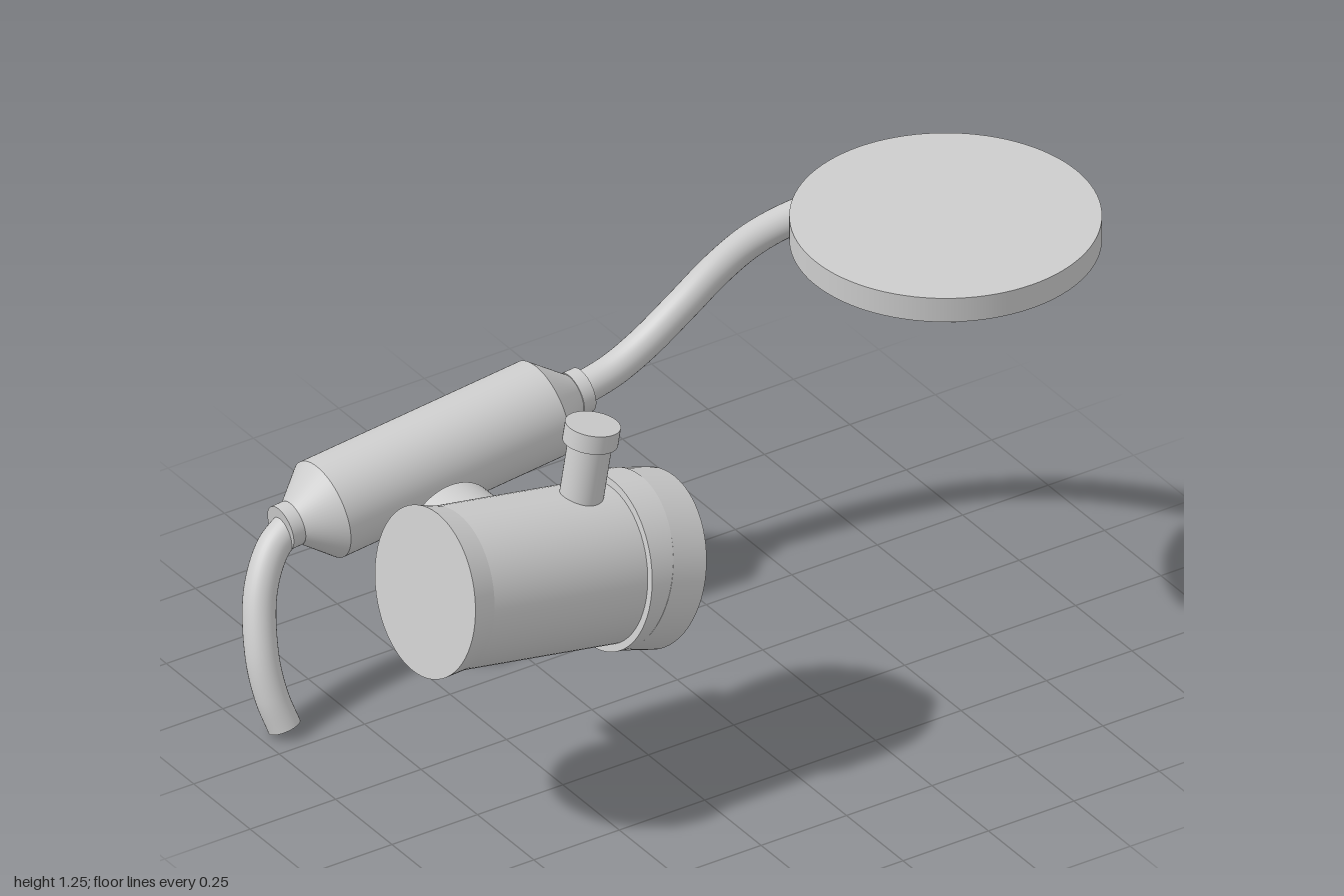
import * as THREE from 'three';

const metal = new THREE.MeshStandardMaterial({ color: 0xcccccc });
metal.name = 'light grey metal';

function add(parent, name, geometry) {
  const mesh = new THREE.Mesh(geometry, metal);
  mesh.name = name;
  parent.add(mesh);
  return mesh;
}

// Round section along local x from a to b, with a radius at each end
function section(parent, name, ra, rb, a, b) {
  const g = new THREE.CylinderGeometry(rb, ra, b - a, 64);
  g.rotateZ(-Math.PI / 2);
  g.translate((a + b) / 2, 0, 0);
  return add(parent, name, g);
}

// Bent pipe through points, closed at both ends
function pipe(parent, name, points, radius) {
  const curve = new THREE.CatmullRomCurve3(points.map(p => new THREE.Vector3(...p)));
  const group = new THREE.Group();
  group.name = name;
  add(group, name + 'Wall', new THREE.TubeGeometry(curve, 64, radius, 32));
  for (const t of [0, 1]) {
    const cap = add(group, name + 'End', new THREE.CircleGeometry(radius, 32));
    const dir = curve.getTangent(t).multiplyScalar(t ? 1 : -1);
    cap.position.copy(curve.getPoint(t));
    cap.quaternion.setFromUnitVectors(new THREE.Vector3(0, 0, 1), dir);
  }
  parent.add(group);
}

function frame(parent, name, x, y, z, angle) {
  const group = new THREE.Group();
  group.name = name;
  group.position.set(x, y, z);
  group.rotation.z = angle;
  parent.add(group);
  return group;
}

export function createModel() {
  const model = new THREE.Group();
  model.name = 'exhaustAssembly';

  // Round plate with a ring of six bolts underneath
  const plate = frame(model, 'plate', 0.62, 1.19, 0.25, 0);
  add(plate, 'plateDisc', new THREE.CylinderGeometry(0.382, 0.382, 0.068, 96).translate(0, 0.034, 0));
  for (let i = 0; i < 6; i++) {
    const a = i * Math.PI / 3;
    add(plate, 'bolt', new THREE.CylinderGeometry(0.026, 0.026, 0.03, 24))
      .position.set(0.32 * Math.cos(a), -0.009, 0.32 * Math.sin(a));
  }

  // Canister with cones and collars
  const canister = frame(model, 'canister', -0.07, 0.548, -0.5, 0.107);
  section(canister, 'canisterShell', 0.128, 0.128, -0.644, 0);
  section(canister, 'rightCone', 0.128, 0.055, 0, 0.09);
  section(canister, 'leftCone', 0.055, 0.128, -0.73, -0.644);
  section(canister, 'rightCollar', 0.058, 0.058, 0.09, 0.125);
  section(canister, 'leftCollar', 0.058, 0.058, -0.765, -0.73);

  // Pipes out of both ends of the canister
  pipe(model, 'upperPipe', [
    [0.03, 0.557, -0.503], [0.14, 0.588, -0.5], [0.23, 0.637, -0.495], [0.33, 0.72, -0.48],
    [0.41, 0.81, -0.45], [0.475, 0.905, -0.39], [0.54, 1.02, -0.27], [0.585, 1.11, -0.14],
    [0.615, 1.172, -0.02],
  ], 0.042);
  pipe(model, 'lowerPipe', [
    [-0.8, 0.467, -0.5], [-0.86, 0.425, -0.49], [-0.92, 0.335, -0.455],
    [-0.955, 0.2, -0.395], [-0.953, 0.1, -0.355], [-0.935, 0.022, -0.325],
  ], 0.042);

  // Housing drum, its axis sloping down to the right
  const housing = frame(model, 'housing', -0.903, 0.698, 0.25, -0.172);
  section(housing, 'leftRim', 0.216, 0.204, 0, 0.065);
  section(housing, 'drum', 0.204, 0.204, 0.065, 0.55);

  // Mitred band leading to a tilted end cap
  const tilt = 0.14;
  const band = section(housing, 'mitredBand', 0.223, 0.223, 0.52, 0.572);
  const pos = band.geometry.attributes.position;
  for (let i = 0; i < pos.count; i++) {
    if (pos.getX(i) > 0.55) pos.setX(i, pos.getX(i) + Math.tan(tilt) * pos.getY(i));
  }
  const endCap = frame(housing, 'endCap', 0.572, 0, 0, -tilt);
  section(endCap, 'endCapDrum', 0.224, 0.224, 0, 0.102);

  // Filler neck with its lid
  add(housing, 'neck', new THREE.CylinderGeometry(0.055, 0.055, 0.2, 40)).position.set(0.43, 0.25, 0);
  add(housing, 'neckLid', new THREE.CylinderGeometry(0.069, 0.069, 0.049, 40)).position.set(0.43, 0.37, 0);

  // Round port on the back
  add(housing, 'backPort', new THREE.CylinderGeometry(0.13, 0.13, 0.2, 64).rotateX(Math.PI / 2))
    .position.set(0.254, 0, -0.162);

  return model;
}
